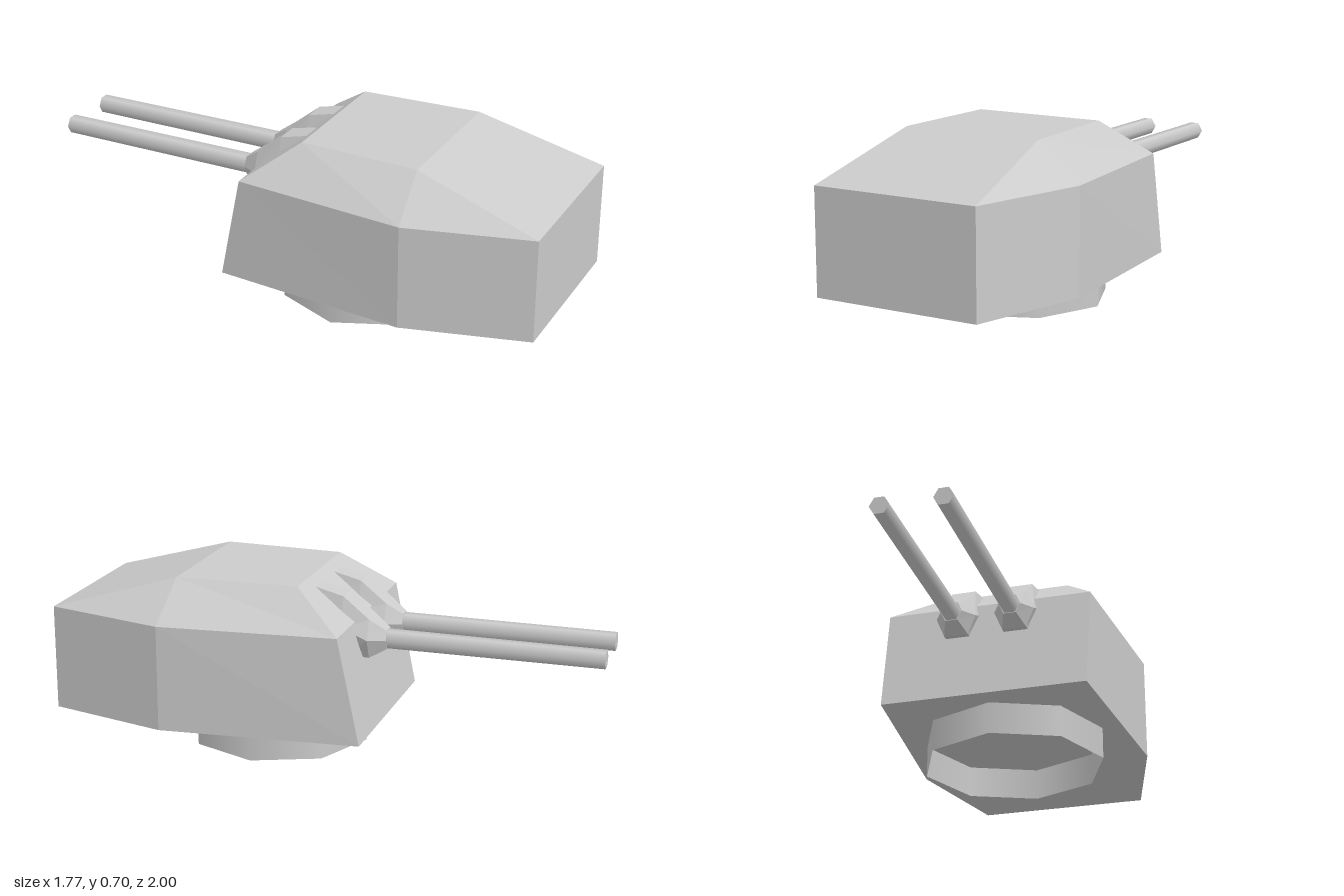
import * as THREE from 'three';

const grey = (opts = {}) => new THREE.MeshStandardMaterial({ color: 0xcccccc, ...opts });

// Flat-sided solid from polygons, each given as a loop of [x, y, z] corners
function solid(name, faces) {
  const pos = [];
  for (const f of faces)
    for (let i = 1; i < f.length - 1; i++) pos.push(...f[0], ...f[i], ...f[i + 1]);
  const geo = new THREE.BufferGeometry();
  geo.setAttribute('position', new THREE.Float32BufferAttribute(pos, 3));
  geo.computeVertexNormals();
  const mesh = new THREE.Mesh(geo, grey({ flatShading: true }));
  mesh.name = name;
  return mesh;
}

// Mirrors right-hand [x, z] corners into a full loop at height y
const loop = (half, y) => [
  ...half.map(([x, z]) => [x, y, z]),
  ...[...half].reverse().map(([x, z]) => [-x, y, z]),
];

// Walls between two loops of equal length
const walls = (a, b) => a.map((p, i) => {
  const j = (i + 1) % a.length;
  return [p, b[i], b[j], a[j]];
});

function gunHouse() {
  const b = loop([[0.409, -0.3], [0.48, 0.496], [0.35, 0.99]], 0.128);
  const t = loop([[0.412, -0.211], [0.48, 0.496], [0.35, 0.99]], 0.55);
  const r = loop([[0.2735, -0.009], [0.295, 0.482]], 0.7);
  return solid('gunHouse', [
    b, ...walls(b, t),
    [t[0], r[0], r[1], t[1]], [t[1], r[1], t[2]],
    [t[2], r[1], r[2], t[3]], [t[3], r[2], t[4]],
    [t[4], r[2], r[3], t[5]], [t[5], r[3], r[0], t[0]],
    [r[0], r[3], r[2], r[1]],
  ]);
}

// Six-sided gun sleeve that flares back into the sloping front of the roof
function gunSleeve() {
  const sections = [
    [-0.33, 0.042, 0.44, 0.515], [-0.265, 0.08, 0.405, 0.56],
    [-0.16, 0.08, 0.41, 0.645], [-0.05, 0.075, 0.42, 0.672],
  ].map(([z, w, lo, hi]) => {
    const m = (lo + hi) / 2, h = w * 0.6;
    return [[w, m, z], [h, hi, z], [-h, hi, z], [-w, m, z], [-h, lo, z], [h, lo, z]];
  });
  const faces = [[...sections[0]].reverse(), sections[3]];
  for (let i = 0; i < 3; i++) faces.push(...walls(sections[i + 1], sections[i]));
  return solid('gunSleeve', faces);
}

function barrel() {
  const geo = new THREE.CylinderGeometry(0.04, 0.038, 0.88, 6);
  geo.rotateY(Math.PI / 6).rotateX(Math.PI / 2).translate(0, 0.477, -0.74);
  const mesh = new THREE.Mesh(geo, grey());
  mesh.name = 'barrel';
  return mesh;
}

export function createModel() {
  const model = new THREE.Group();
  model.name = 'gunTurret';

  // Whole turret is trained off to one side
  const turret = new THREE.Group();
  turret.name = 'turret';
  turret.rotation.y = 0.69;
  turret.position.set(-0.015, 0, 0.012);
  model.add(turret);

  turret.add(gunHouse());

  // Open base ring
  const ring = new THREE.Mesh(
    new THREE.CylinderGeometry(0.367, 0.367, 0.128, 8, 1, true),
    grey({ side: THREE.DoubleSide }));
  ring.name = 'baseRing';
  ring.position.set(0, 0.064, 0.158);
  turret.add(ring);

  // Twin guns
  for (const side of [-1, 1]) {
    const gun = new THREE.Group();
    gun.name = side < 0 ? 'rightGun' : 'leftGun';
    gun.position.x = side * 0.118;
    gun.add(gunSleeve(), barrel());
    turret.add(gun);
  }
  return model;
}
